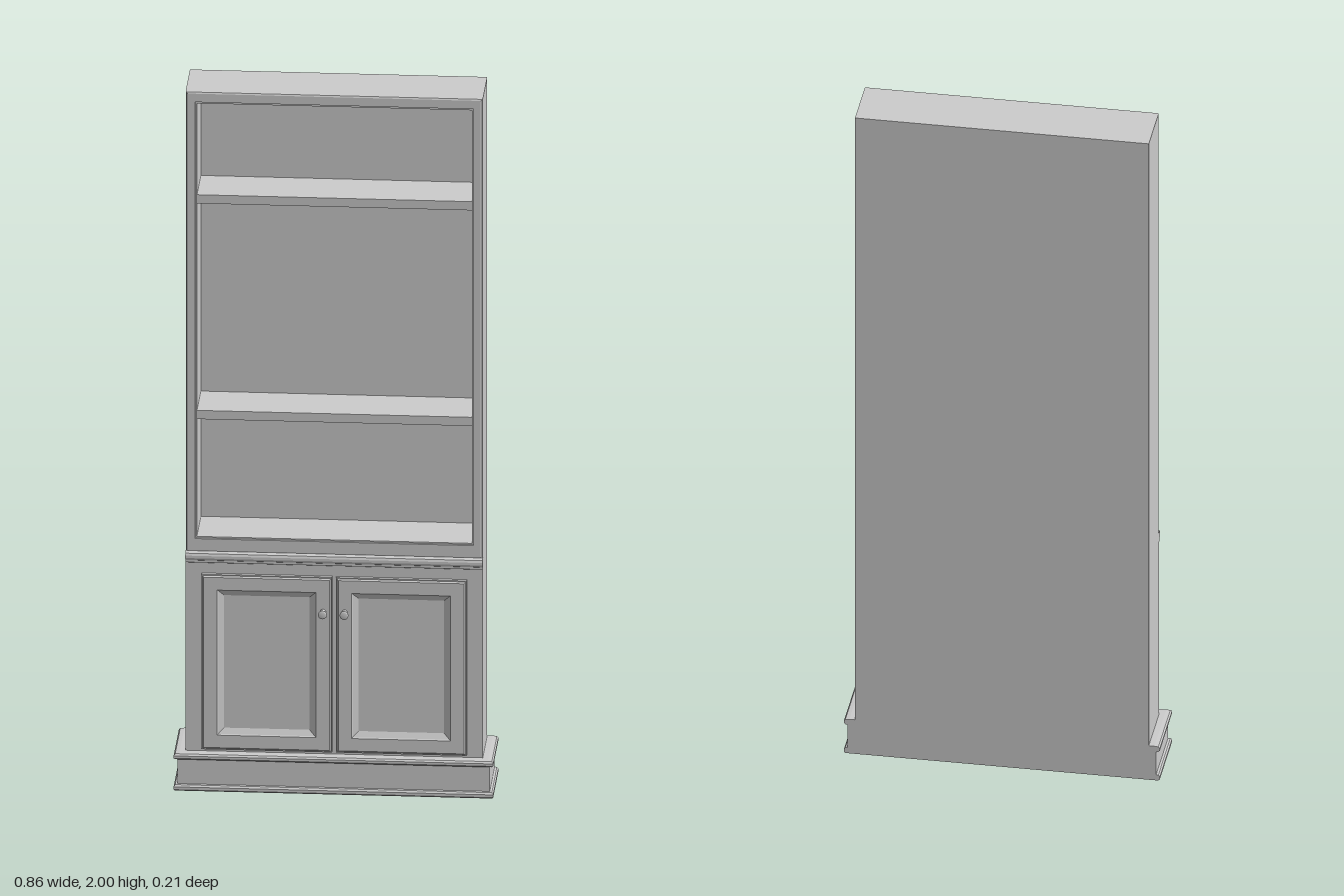
import * as THREE from 'three';

const BACK = -0.105;

// Skins a stack of four-cornered loops (counter-clockwise seen from the end) and caps both ends
function skin(loops) {
  const pos = [];
  const quad = (a, b, c, d) => pos.push(...a, ...b, ...c, ...a, ...c, ...d);
  const first = loops[0], last = loops[loops.length - 1];
  quad(first[3], first[2], first[1], first[0]);
  for (let i = 0; i < loops.length - 1; i++) {
    for (let k = 0; k < 4; k++) {
      const n = (k + 1) % 4;
      quad(loops[i][k], loops[i][n], loops[i + 1][n], loops[i + 1][k]);
    }
  }
  quad(...last);
  const g = new THREE.BufferGeometry();
  g.setAttribute('position', new THREE.Float32BufferAttribute(pos, 3));
  g.computeVertexNormals();
  return g;
}

// Upright rectangle facing +z, and flat rectangle facing +y reaching to the back plane
const upright = (x0, x1, y0, y1, z) => [[x0, y0, z], [x1, y0, z], [x1, y1, z], [x0, y1, z]];
const flat = (x, front, y, back = BACK) => [[-x, y, front], [x, y, front], [x, y, back], [-x, y, back]];

export function createModel() {
  const model = new THREE.Group();
  const material = new THREE.MeshStandardMaterial({ color: 0xcccccc });
  const add = (name, geometry, parent = model) => {
    const mesh = new THREE.Mesh(geometry, material);
    mesh.name = name;
    parent.add(mesh);
    return mesh;
  };
  const box = (name, x0, x1, y0, y1, z0, z1) => {
    const mesh = add(name, new THREE.BoxGeometry(x1 - x0, y1 - y0, z1 - z0));
    mesh.position.set((x0 + x1) / 2, (y0 + y1) / 2, (z0 + z1) / 2);
  };

  // Upper case: eased outer edge, face frame with a small bead, open niche
  const frame = (inset, z) => upright(-0.4 + inset, 0.4 - inset, 0.675 + inset, 2 - inset, z);
  const niche = (grow, z) => upright(-0.37 - grow, 0.37 + grow, 0.72 - grow, 1.965 + grow, z);
  add('upperCase', skin([
    frame(0, BACK), frame(0, 0.054), frame(0.002, 0.058), frame(0.006, 0.06),
    niche(0.005, 0.06), niche(0.004, 0.056), niche(0, 0.056), niche(0, -0.095),
  ]));

  // Two shelves across the niche
  for (const y of [1.055, 1.675]) box('shelf', -0.37, 0.37, y, y + 0.025, -0.096, 0.05);

  // Lower cupboard
  box('lowerCase', -0.4, 0.4, 0.1, 0.675, BACK, 0.063);

  // Waist moulding: rounded nose with a shallow step beneath
  add('waistMoulding', skin([
    [0.064, 0.648], [0.068, 0.65], [0.068, 0.656], [0.072, 0.658], [0.0745, 0.664],
    [0.0745, 0.671], [0.072, 0.677], [0.067, 0.68], [0.059, 0.68],
  ].map(([z, y]) => flat(0.4, z, y, 0.05))));

  // Plinth with a rounded bead at its foot and top, flush at the back
  add('plinth', skin([
    [0.006, 0], [0.01, 0.004], [0.01, 0.012], [0.006, 0.017], [0, 0.018],
    [0, 0.089], [0.006, 0.09], [0.01, 0.094], [0.01, 0.101], [0.006, 0.106], [-0.005, 0.107],
  ].map(([out, y]) => flat(0.42 + out, 0.082 + out, y))));

  // Pair of doors with sunken, bevelled panels and turned knobs
  const knobProfile = [
    [0, 0], [0.008, 0], [0.008, 0.002], [0.004, 0.005], [0.004, 0.017],
    [0.009, 0.02], [0.012, 0.022], [0.012, 0.025], [0.008, 0.027], [0, 0.027],
  ].map(([r, y]) => new THREE.Vector2(r, y));
  for (const side of [-1, 1]) {
    const door = new THREE.Group();
    door.name = side < 0 ? 'rightDoor' : 'leftDoor';
    model.add(door);
    const cx = side * 0.181;
    const loop = (inset, z) =>
      upright(cx - 0.176 + inset, cx + 0.176 - inset, 0.115 + inset, 0.618 - inset, z);
    add('doorPanel', skin([
      loop(0, 0.06), loop(0, 0.073), loop(0.003, 0.073), loop(0.007, 0.077),
      loop(0.043, 0.077), loop(0.046, 0.074), loop(0.061, 0.066),
    ]), door);
    const knob = add('knob', new THREE.LatheGeometry(knobProfile, 12), door);
    knob.rotation.x = Math.PI / 2;
    knob.position.set(side * 0.029, 0.52, 0.076);
  }
  return model;
}
